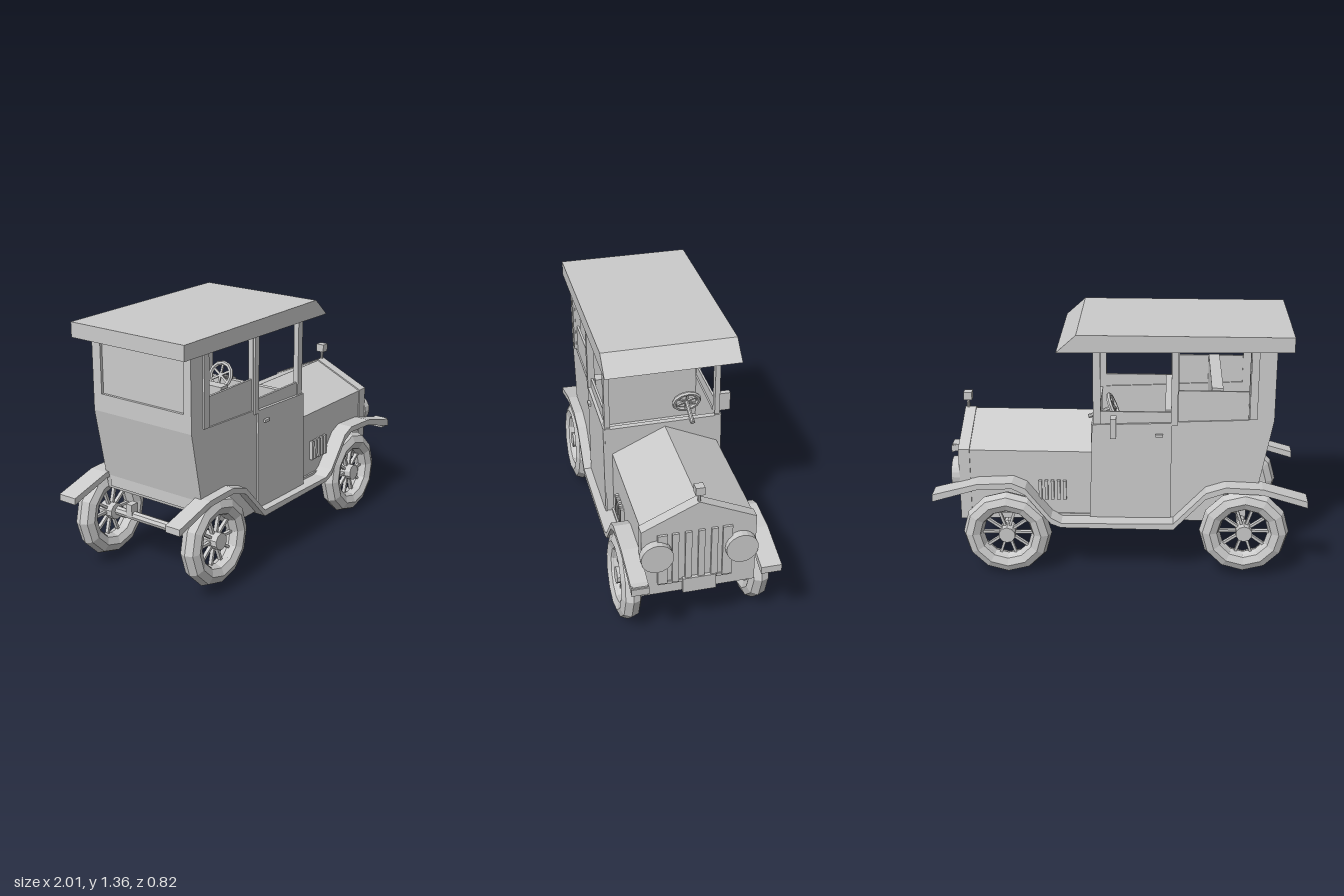
import * as THREE from 'three';

const mat = new THREE.MeshStandardMaterial({ color: 0xcccccc, flatShading: true, side: THREE.DoubleSide });

function add(parent, name, geo, x = 0, y = 0, z = 0) {
  const m = new THREE.Mesh(geo, mat);
  m.name = name;
  m.position.set(x, y, z);
  parent.add(m);
  return m;
}

// Box given by its minimum and maximum on each axis
function box(parent, name, x0, x1, y0, y1, z0, z1) {
  return add(parent, name, new THREE.BoxGeometry(x1 - x0, y1 - y0, z1 - z0),
    (x0 + x1) / 2, (y0 + y1) / 2, (z0 + z1) / 2);
}

const toVectors = pts => pts.map(p => new THREE.Vector2(p[0], p[1]));

// Side profile (x, y) extruded between z0 and z1, with optional holes
function slab(parent, name, pts, z0, z1, holes = []) {
  const s = new THREE.Shape(toVectors(pts));
  holes.forEach(h => s.holes.push(new THREE.Path(toVectors(h))));
  return add(parent, name, new THREE.ExtrudeGeometry(s, { depth: z1 - z0, bevelEnabled: false }), 0, 0, z0);
}

// Cross-section (z, y) extruded from x0 to x1
function section(parent, name, pts, x0, x1) {
  const s = new THREE.Shape(toVectors(pts.map(([z, y]) => [-z, y])));
  const g = new THREE.ExtrudeGeometry(s, { depth: x1 - x0, bevelEnabled: false });
  g.rotateY(Math.PI / 2);
  return add(parent, name, g, x0, 0, 0);
}

// Spoked wheel with a chunky tyre; its axle runs along z
function wheel(parent, name, x, y, z) {
  const w = new THREE.Group();
  w.name = name;
  w.position.set(x, y, z);
  w.rotation.x = -0.045;
  add(w, 'tyre', new THREE.TorusGeometry(0.185, 0.055, 8, 12));
  const rim = new THREE.CylinderGeometry(0.14, 0.14, 0.06, 12, 1, true);
  add(w, 'rim', rim.rotateX(Math.PI / 2));
  const hub = new THREE.CylinderGeometry(0.045, 0.045, 0.09, 10);
  add(w, 'hub', hub.rotateX(Math.PI / 2));
  for (let i = 0; i < 10; i++) {
    const spoke = new THREE.BoxGeometry(0.115, 0.014, 0.02);
    spoke.translate(0.088, 0, 0).rotateZ(i * Math.PI / 5);
    add(w, 'spoke', spoke);
  }
  parent.add(w);
}

export function createModel() {
  const car = new THREE.Group();
  car.name = 'vintageCar';

  // Roof with sloping front visor
  slab(car, 'roof', [[-0.91, 1.275], [0.305, 1.26], [0.2, 1.355], [-0.91, 1.355]], -0.36, 0.365);

  // Cabin side walls with two open windows each
  const wall = [[-0.83, 1.28], [-0.83, 0.885], [-0.745, 0.43], [-0.5, 0.3], [0.13, 0.3],
    [0.13, 0.85], [0.12, 0.85], [0.12, 1.28]];
  const windows = [
    [[-0.695, 0.885], [-0.33, 0.87], [-0.33, 1.272], [-0.695, 1.272]],
    [[-0.29, 0.865], [0.08, 0.85], [0.08, 1.265], [-0.29, 1.265]],
  ];
  for (const [z0, z1, out, side] of [[0.308, 0.337, 0.347, 1], [-0.3, -0.272, -0.308, -1]]) {
    const lo = side > 0 ? z1 : out, hi = side > 0 ? out : z0;
    slab(car, 'cabinSide', wall, z0, z1, windows);
    slab(car, 'door', [[-0.295, 0.315], [0.14, 0.315], [0.125, 0.85], [-0.295, 0.865]], lo, hi);
    box(car, 'rearWindowPanel', -0.7, -0.32, 0.86, 1.04, z0 + 0.008, z1 - 0.008);
    box(car, 'doorWindowPanel', -0.3, 0.09, 0.84, 0.92, z0 + 0.008, z1 - 0.008);
    box(car, 'doorPillar', -0.325, -0.29, 0.85, 1.275, lo, hi);
    box(car, 'rearPillar', -0.74, -0.7, 0.89, 1.275, lo, hi);
    const outer = side > 0 ? 0.347 : -0.308;
    box(car, 'doorHandle', -0.25, -0.21, 0.79, 0.805, outer - 0.015, outer + 0.015);
  }

  // Rear wall: upper part with a window opening and pane, lower part sloping in
  section(car, 'rearSlope', [[-0.29, 0.98], [0.32, 0.98], [0.32, 0.885], [-0.29, 0.885]], -0.83, -0.8);
  section(car, 'rearFrame', [[-0.29, 1.28], [-0.245, 1.28], [-0.245, 0.98], [-0.29, 0.98]], -0.83, -0.8);
  section(car, 'rearFrame', [[0.29, 1.28], [0.32, 1.28], [0.32, 0.98], [0.29, 0.98]], -0.83, -0.8);
  box(car, 'rearPane', -0.815, -0.8, 0.97, 1.28, -0.25, 0.3);
  slab(car, 'rearLowerWall', [[-0.83, 0.885], [-0.745, 0.43], [-0.715, 0.43], [-0.8, 0.885]], -0.29, 0.32);

  // Floor and dashboard
  slab(car, 'floor', [[-0.745, 0.43], [-0.5, 0.3], [0.84, 0.29], [0.84, 0.32], [-0.5, 0.33], [-0.72, 0.46]], -0.29, 0.31);
  box(car, 'dashboard', 0.1, 0.13, 0.3, 0.845, -0.29, 0.32);

  // Seats
  box(car, 'rearSeat', -0.76, -0.45, 0.45, 0.65, -0.27, 0.308);
  box(car, 'rearSeatBack', -0.56, -0.5, 0.6, 1.05, -0.27, 0.308);
  box(car, 'frontSeat', -0.28, -0.02, 0.32, 0.62, -0.27, 0.308);
  box(car, 'frontSeatBack', -0.32, -0.26, 0.55, 0.925, -0.27, 0.308);

  // Steering wheel and column
  const steering = new THREE.Group();
  steering.name = 'steeringWheel';
  steering.position.set(0.02, 0.89, -0.14);
  steering.rotation.z = -0.4;
  add(steering, 'steeringRing', new THREE.TorusGeometry(0.07, 0.013, 6, 12).rotateY(Math.PI / 2));
  add(steering, 'column', new THREE.CylinderGeometry(0.012, 0.012, 0.15, 8).rotateZ(Math.PI / 2), 0.07);
  for (const a of [0, Math.PI / 3, -Math.PI / 3])
    add(steering, 'steeringSpoke', new THREE.BoxGeometry(0.01, 0.14, 0.012).rotateX(a));
  car.add(steering);

  // Hood and radiator
  section(car, 'hood', [[-0.283, 0.3], [-0.283, 0.685], [0.008, 0.82], [0.3, 0.685], [0.3, 0.3]], 0.12, 0.79);
  section(car, 'radiator', [[-0.29, 0.285], [-0.29, 0.69], [0.008, 0.827], [0.307, 0.69], [0.307, 0.285]], 0.785, 0.845);
  for (let i = 0; i < 6; i++) {
    const end = i === 0 || i === 5, z = 0.2 - i * 0.0675, h = end ? 0.025 : 0.017;
    box(car, 'grilleBar', 0.84, 0.858, 0.355, 0.66, z - h, z + h);
  }
  box(car, 'grilleBase', 0.84, 0.852, 0.345, 0.362, -0.165, 0.22);
  box(car, 'frontPlate', 0.845, 0.864, 0.28, 0.37, -0.08, 0.095);
  add(car, 'capStem', new THREE.CylinderGeometry(0.009, 0.009, 0.07, 8), 0.828, 0.845, 0.008);
  box(car, 'radiatorCap', 0.805, 0.85, 0.87, 0.915, -0.015, 0.032);

  // Headlamps
  for (const [y, z] of [[0.543, 0.233], [0.528, -0.208]]) {
    const lamp = new THREE.CylinderGeometry(0.084, 0.084, 0.045, 20);
    add(car, 'headlamp', lamp.rotateZ(Math.PI / 2), 0.865, y, z);
  }

  // Hood vents
  for (const z of [0.3, -0.283])
    for (let i = 0; i < 5; i++)
      box(car, 'vent', 0.267 + i * 0.033, 0.284 + i * 0.033, 0.41, 0.52, z - 0.02, z + 0.02);

  // Fenders and running board as one band per side
  const top = [[-1, 0.46], [-0.76, 0.528], [-0.565, 0.535], [-0.46, 0.5], [-0.29, 0.318],
    [0.31, 0.31], [0.365, 0.34], [0.5, 0.51], [0.57, 0.54], [0.76, 0.53], [1, 0.465]];
  const drop = [0.035, 0.032, 0.032, 0.035, 0.035, 0.025, 0.035, 0.038, 0.032, 0.032, 0.04];
  const band = [...top, ...top.map(([x, y], i) => [x, y - drop[i]]).reverse()];
  slab(car, 'leftFender', band, 0.3, 0.39).scale.x = 0.995;
  slab(car, 'rightFender', band, -0.388, -0.28).position.x = -0.02;
  box(car, 'fenderEndLeft', 0.93, 0.99, 0.43, 0.475, 0.305, 0.385);

  // Wheels and axles
  for (const [name, x, y] of [['front', 0.605, 0.24], ['rear', -0.67, 0.272]]) {
    wheel(car, name + 'LeftWheel', x, y + 0.004, 0.347);
    wheel(car, name + 'RightWheel', x - 0.02, y - 0.004, -0.345);
    const axle = new THREE.CylinderGeometry(0.025, 0.025, 0.68, 8);
    add(car, name + 'Axle', axle.rotateX(Math.PI / 2), x - 0.01, y, 0);
    for (const z of [-0.2, 0.2])
      box(car, name + 'AxleMount', x - 0.035, x + 0.015, y, 0.34, z - 0.02, z + 0.02);
  }

  // Mirror on the driver's side
  box(car, 'mirrorArm', 0.0, 0.02, 0.815, 0.835, -0.335, -0.29);
  box(car, 'mirror', -0.005, 0.025, 0.805, 0.912, -0.388, -0.328);

  return car;
}
